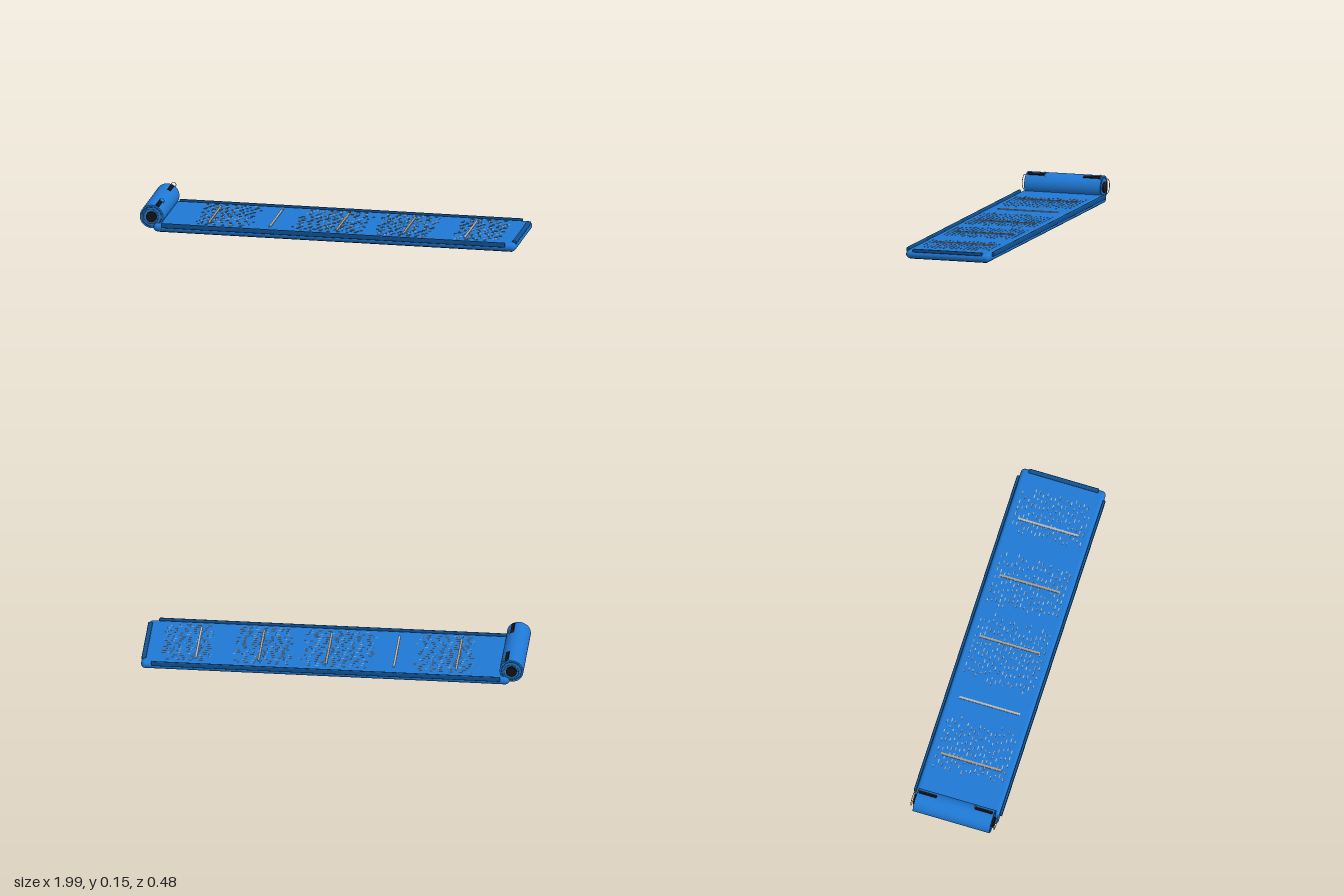
import * as THREE from 'three';
import { RoundedBoxGeometry } from 'three/addons/geometries/RoundedBoxGeometry.js';

export function createModel() {
  const group = new THREE.Group();
  const paint = (name, color) => {
    const m = new THREE.MeshStandardMaterial({ color });
    m.name = name;
    return m;
  };
  const blue = paint('mat blue', 0x1f7ad6);
  const navy = paint('trim blue', 0x11518f);
  const black = paint('rubber black', 0x121216);
  const silver = paint('silver grey', 0xb4b6b8);
  const tan = paint('warm grey', 0xa59c92);

  const add = (name, geometry, material, x, y, z, parent = group) => {
    const mesh = new THREE.Mesh(geometry, material);
    mesh.name = name;
    mesh.position.set(x, y, z);
    parent.add(mesh);
    return mesh;
  };

  // Padded mat with a rubber underside
  const top = 0.047;
  add('mat', new RoundedBoxGeometry(1.92, 0.045, 0.46, 6, 0.0222), blue, 0.033, 0.0245, 0);
  add('underside', new THREE.BoxGeometry(1.88, 0.004, 0.42), black, 0.033, 0.002, 0);

  // Raised piping along the sides and the open end
  for (const s of [1, -1]) {
    add('sideTrim', new RoundedBoxGeometry(1.82, 0.025, 0.014, 3, 0.005), navy, 0.03, 0.0405, s * 0.233);
  }
  add('endTrim', new RoundedBoxGeometry(0.024, 0.016, 0.38, 3, 0.005), navy, 0.981, 0.045, 0);

  // Bolster roll with end caps and rings
  const cx = -0.938, cy = 0.079, r = 0.062;
  const roll = add('roll', new THREE.CylinderGeometry(r, r, 0.416, 64), blue, cx, cy, 0);
  roll.rotation.x = Math.PI / 2;
  for (const s of [1, -1]) {
    const cap = add('endCap', new THREE.CylinderGeometry(0.028, 0.028, 0.01, 32), black, cx, cy, s * 0.213);
    cap.rotation.x = Math.PI / 2;
    add('endPiping', new THREE.TorusGeometry(0.052, 0.002, 8, 48), navy, cx, cy, s * 0.208);
    add('endRing', new THREE.TorusGeometry(0.039, 0.0018, 8, 48), silver, cx, 0.085, s * 0.226);
    // Grip strap lying on the roll
    const strap = add('strap', new RoundedBoxGeometry(0.02, 0.008, 0.095, 3, 0.003), black,
      cx + 0.027, cy + 0.055, s * 0.152);
    strap.rotation.z = -0.46;
  }
  for (const z of [0.103, -0.202]) {
    add('strapRing', new THREE.TorusGeometry(0.0125, 0.0015, 8, 24), silver, -0.905, 0.137, z);
  }

  // Cross bars on the mat
  const bars = [-0.645, -0.32, 0.033, 0.385, 0.712];
  bars.forEach((x, i) => {
    add('crossBar', new THREE.BoxGeometry(0.012, 0.005, 0.33), i % 3 === 1 ? silver : tan, x, top + 0.0015, 0);
  });

  // Small printed dashes in rows around the bars
  let seed = 7;
  const random = () => {
    seed = (seed * 16807) % 2147483647;
    return seed / 2147483647;
  };
  const dashes = new THREE.Group();
  dashes.name = 'dashes';
  group.add(dashes);
  const dash = new THREE.BoxGeometry(1, 0.003, 0.005);
  const patches = [[-0.72, -0.4], [-0.2, 0.18], [0.22, 0.54], [0.64, 0.92]];
  for (const [x0, x1] of patches) {
    for (let row = 0; row < 18; row++) {
      const z = -0.185 + row * 0.0218;
      const inset = 0.05 * random();
      for (let x = x0 + inset; x < x1 - 0.05 * random(); x += 0.028 + 0.03 * random()) {
        const mesh = add('dash', dash, random() < 0.5 ? tan : silver, x, top + 0.0005, z, dashes);
        mesh.scale.x = 0.009 + 0.012 * random();
      }
    }
  }
  return group;
}
